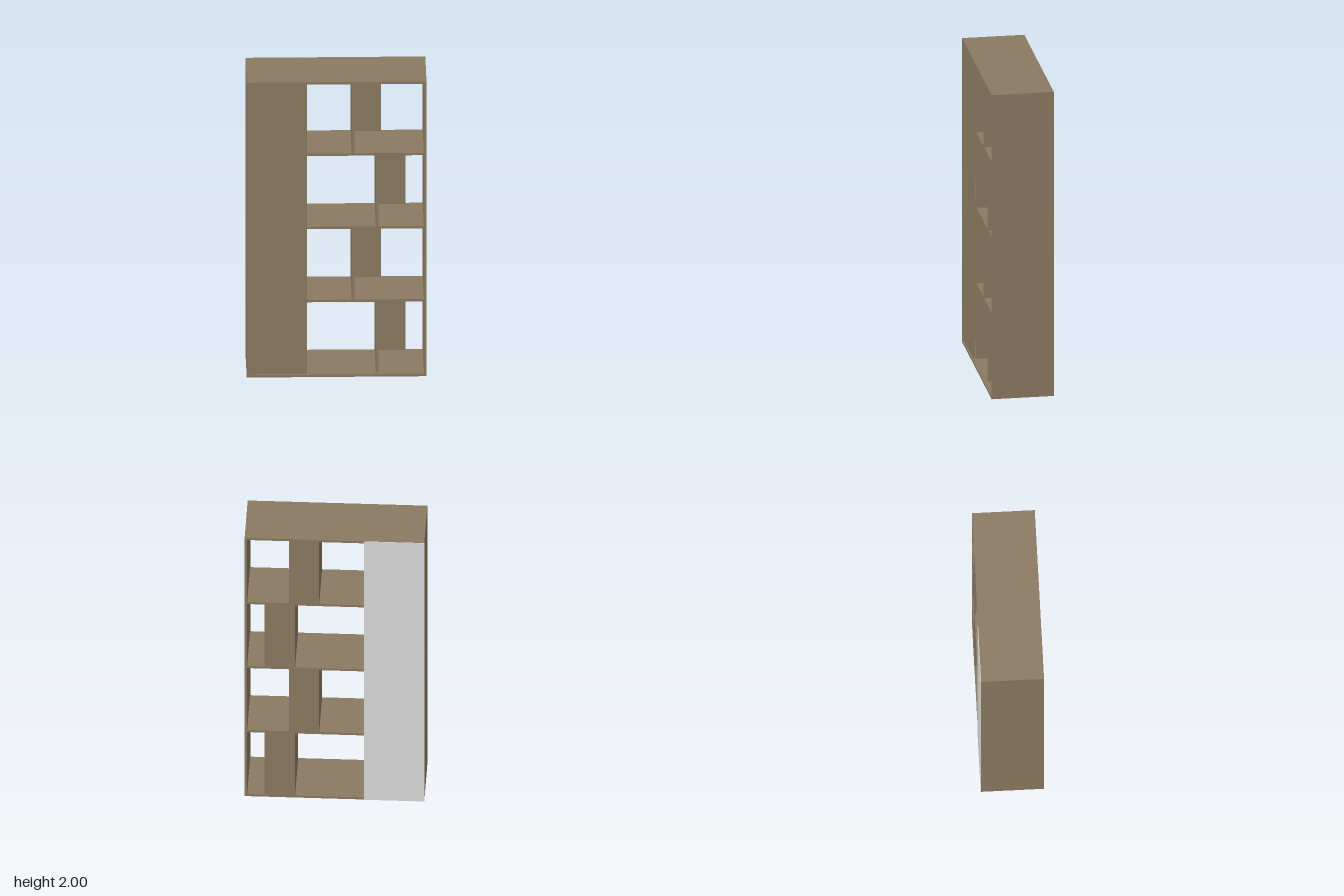
import * as THREE from 'three';

export function createModel() {
  const model = new THREE.Group();
  model.name = 'bookcase';

  const wood = new THREE.MeshStandardMaterial({ color: 0x8c7a61 });
  wood.name = 'brown wood';
  const grey = new THREE.MeshStandardMaterial({ color: 0xdcdcdc });
  grey.name = 'light grey board';

  // Box given by its minimum and maximum on each axis
  function panel(name, x0, x1, y0, y1, z0, z1, material = wood) {
    const mesh = new THREE.Mesh(new THREE.BoxGeometry(x1 - x0, y1 - y0, z1 - z0), material);
    mesh.position.set((x0 + x1) / 2, (y0 + y1) / 2, (z0 + z1) / 2);
    mesh.name = name;
    model.add(mesh);
  }

  // Small flat screw head, axis along x or y
  const headGeometry = new THREE.CylinderGeometry(0.005, 0.005, 0.001, 12);
  function screw(x, y, z, alongX) {
    const mesh = new THREE.Mesh(headGeometry, wood);
    mesh.position.set(x, y, z);
    if (alongX) mesh.rotation.z = Math.PI / 2;
    mesh.name = 'screwHead';
    model.add(mesh);
  }

  const T = 0.016;              // board thickness
  const W = 0.56, H = 2;        // half width, height
  const BACK = -0.195, FRONT = 0.197;
  const INNER = 0.17;           // front of the recessed inner boards
  const MID = (BACK + INNER) / 2;
  const divider = -0.184;       // open side of the main divider
  const pitch = (H - T) / 4;    // shelf spacing

  // Outer frame
  panel('bottomPanel', -W, W, 0, T, BACK, FRONT);
  panel('topPanel', -W, W, H - T, H, BACK, FRONT);
  panel('rightSidePanel', -W, -W + T, T, H - T, BACK, FRONT);
  panel('leftSidePanel', W - T, W, T, H - T, BACK, FRONT);

  // Closed compartment: divider, inner shelf, inset door and thin back
  panel('mainDivider', divider - T, divider, T, H - T, BACK, INNER);
  panel('closedShelf', -W + T, divider - T, 1.042, 1.042 + T, BACK, INNER);
  panel('door', -W + T + 0.003, divider, T + 0.003, H - T - 0.003, 0.174, 0.19);
  panel('backBoard', -W, divider, 0, H, BACK - 0.003, BACK, grey);

  // Open rows with staggered uprights and partial backs
  for (let row = 0; row < 4; row++) {
    const base = row * pitch + T;
    const top = (row + 1) * pitch;
    const x = row % 2 ? 0.095 : 0.245;
    if (row > 0) {
      panel('shelf', divider, W - T, base - T, base, BACK, INNER);
      screw(W, base - T / 2, MID, true);
    }
    panel('upright', x, x + T, base, top, BACK, INNER);
    panel('partialBack', x + T, x + 0.19, base, top, BACK, BACK + T);
  }

  // Screw heads on the top, bottom and sides
  for (const y of [0, H]) {
    const yy = y ? H : 0.0005;
    for (const z of [-0.14, 0.14]) {
      screw(-W + T / 2, yy, z);
      screw(W - T / 2, yy, z);
      screw(divider - T / 2, yy, z + MID);
    }
    screw((y ? 0.095 : 0.245) + T / 2, yy, MID);
  }
  screw(-W, 1.05, MID, true);
  screw(divider, 1.05, MID, true);

  return model;
}
